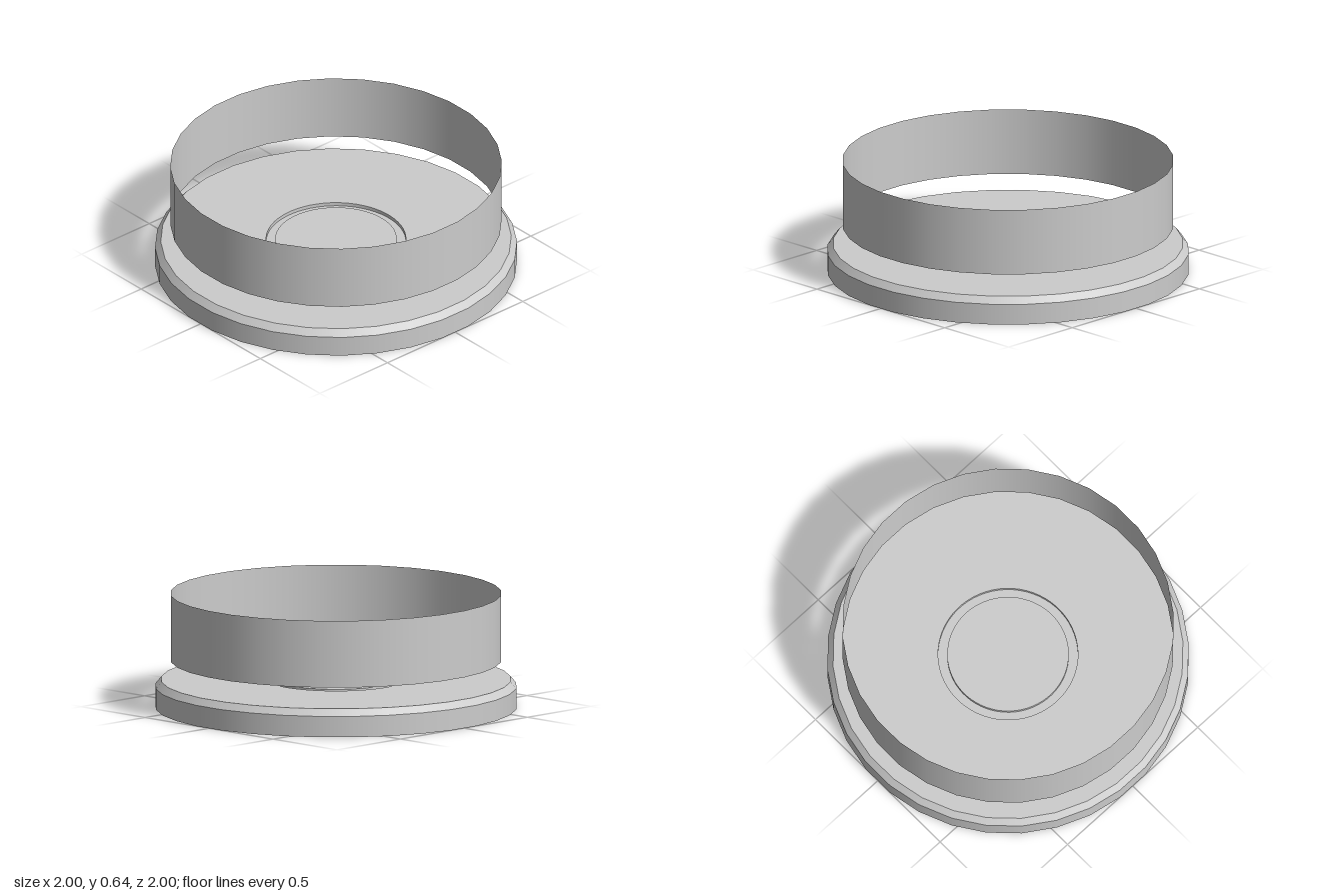
import * as THREE from 'three';

const SIDES = 32;
const HALF = Math.PI / SIDES;

// Polygon points with a flat side facing each axis
function polygon(radius, sides) {
  return Array.from({ length: sides }, (_, i) => {
    const a = ((i + 0.5) / sides) * Math.PI * 2;
    return new THREE.Vector2(radius * Math.sin(a), radius * Math.cos(a));
  });
}

export function createModel() {
  const group = new THREE.Group();
  const grey = new THREE.MeshStandardMaterial({ color: 0xcccccc, side: THREE.DoubleSide });
  grey.name = 'light grey';

  const add = (name, geometry) => {
    const mesh = new THREE.Mesh(geometry, grey);
    mesh.name = name;
    group.add(mesh);
    return mesh;
  };

  // One straight band turned round the axis, so edges between bands stay crisp
  const band = (name, r0, y0, r1, y1, sides = SIDES) =>
    add(name, new THREE.LatheGeometry(
      [new THREE.Vector2(r0, y0), new THREE.Vector2(r1, y1)], sides, Math.PI / sides));

  const rim = 1 / Math.cos(HALF);
  const shoulder = 0.973;
  const top = 0.155;
  const grooveOuter = 0.388, grooveInner = 0.337, grooveFloor = 0.135;

  // Floating thin ring
  band('upperRing', 0.92, 0.265, 0.92, 0.64);

  // Hollow base cap, open underneath
  band('baseWall', rim, 0, rim, 0.117);
  band('baseChamfer', rim, 0.117, shoulder, top);

  const plate = new THREE.Shape(polygon(shoulder, SIDES));
  plate.holes.push(new THREE.Path(polygon(grooveOuter, 64)));
  const plateGeometry = new THREE.ShapeGeometry(plate);
  plateGeometry.rotateX(-Math.PI / 2).translate(0, top, 0);
  add('baseTop', plateGeometry);

  // Shallow circular groove around the centre disc
  band('grooveOuterWall', grooveOuter, top, grooveOuter, grooveFloor, 64);
  band('grooveFloor', grooveOuter, grooveFloor, grooveInner, grooveFloor, 64);
  band('grooveInnerWall', grooveInner, grooveFloor, grooveInner, top, 64);

  const disc = new THREE.ShapeGeometry(new THREE.Shape(polygon(grooveInner, 64)));
  disc.rotateX(-Math.PI / 2).translate(0, top, 0);
  add('centreDisc', disc);

  return group;
}
